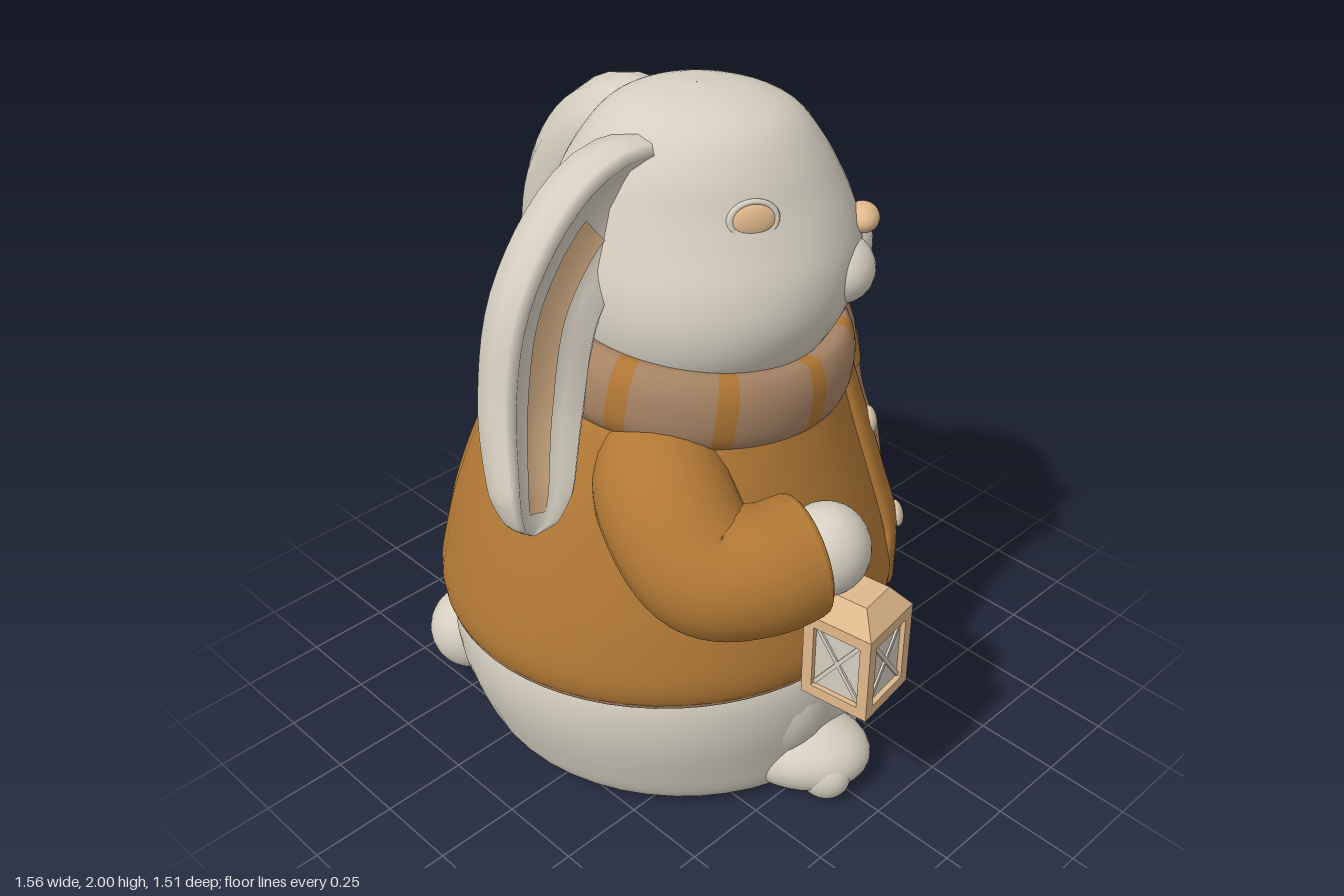
import * as THREE from 'three';

const mat = (name, color, side = THREE.FrontSide) => {
  const m = new THREE.MeshStandardMaterial({ color, side });
  m.name = name;
  return m;
};
const V = (x, y, z) => new THREE.Vector3(x, y, z);
const CIRCLE = Array.from({ length: 24 }, (_, i) => [Math.cos(i * Math.PI / 12), Math.sin(i * Math.PI / 12)]);
// ear section: rounded back, raised rims and a hollow front
const EAR = [[1, 0], [0.93, 0.32], [0.78, 0.45], [0.52, 0.2], [0, 0.08], [-0.52, 0.2], [-0.78, 0.45], [-0.93, 0.32], [-1, 0],
  [-0.87, -0.5], [-0.5, -0.88], [0, -1], [0.5, -0.88], [0.87, -0.5]];

// skin a list of rings (closed loops or open strips)
function loft(rings, closed = true) {
  const n = rings[0].length, pos = [], idx = [];
  rings.forEach(r => r.forEach(p => pos.push(p.x, p.y, p.z)));
  for (let i = 0; i < rings.length - 1; i++) {
    for (let j = 0; j < (closed ? n : n - 1); j++) {
      const a = i * n + j, b = i * n + (j + 1) % n, c = a + n, d = b + n;
      idx.push(a, c, b, b, c, d);
    }
  }
  const g = new THREE.BufferGeometry();
  g.setAttribute('position', new THREE.Float32BufferAttribute(pos, 3));
  g.setIndex(idx);
  g.computeVertexNormals();
  return g;
}

// sweep a section along a path; sizes are [half width, half depth] at each point
function sweep(points, sizes, normal, section = CIRCLE, closed = true, t0 = 0, t1 = 1) {
  const path = new THREE.CatmullRomCurve3(points.map(p => V(...p)));
  const size = new THREE.CatmullRomCurve3(sizes.map(s => V(s[0], s[1], 0)));
  const rings = [];
  for (let i = 0; i <= 40; i++) {
    const t = t0 + (t1 - t0) * i / 40, c = path.getPoint(t), s = size.getPoint(t), T = path.getTangent(t);
    const N = normal.clone().addScaledVector(T, -normal.dot(T)).normalize();
    const W = T.clone().cross(N);
    rings.push(section.map(([u, v]) => c.clone().addScaledVector(W, u * s.x).addScaledVector(N, v * s.y)));
  }
  return loft(rings, closed);
}

// stacked ellipses, rows of [rx, y, rz, centre z]
function shell(rows) {
  const size = new THREE.CatmullRomCurve3(rows.map(r => V(r[0], r[1], r[2])));
  const mid = new THREE.CatmullRomCurve3(rows.map(r => V(0, r[1], r[3])));
  const rings = [];
  for (let i = 0; i <= 48; i++) {
    const s = size.getPoint(i / 48), z = mid.getPoint(i / 48).z;
    rings.push(Array.from({ length: 48 }, (_, j) => {
      const a = j * Math.PI / 24;
      return V(-Math.sin(a) * s.x, Math.max(0, s.y), z + Math.cos(a) * s.z);
    }));
  }
  return loft(rings);
}

export function createModel() {
  const fur = mat('fur', 0xd6cfc1), coat = mat('coat', 0xb17835, THREE.DoubleSide);
  const scarf = mat('scarfWool', 0xa88465, THREE.DoubleSide), tan = mat('tan', 0xe0b88c, THREE.DoubleSide);
  const ivory = mat('buttonIvory', 0xdcc8a9);
  const model = new THREE.Group(), rabbit = new THREE.Group();
  model.name = 'rabbitFigurine';
  rabbit.name = 'rabbit';
  rabbit.rotation.y = THREE.MathUtils.degToRad(133);
  rabbit.position.set(-0.02, 0, -0.022);
  model.add(rabbit);

  const add = (name, geo, m, parent = rabbit) => {
    const mesh = new THREE.Mesh(geo, m);
    mesh.name = name;
    parent.add(mesh);
    return mesh;
  };
  const ball = (name, m, [x, y, z], [a, b, c], parent = rabbit) => {
    const mesh = add(name, new THREE.SphereGeometry(1, 28, 20).scale(a, b, c), m, parent);
    mesh.position.set(x, y, z);
    return mesh;
  };

  // lower body and tail
  add('lowerBody', shell([[0.001, 0, 0.001, -0.03], [0.49, 0, 0.55, -0.03], [0.545, 0.04, 0.59, -0.05],
    [0.585, 0.15, 0.62, -0.07], [0.615, 0.3, 0.65, -0.08], [0.61, 0.42, 0.645, -0.08], [0.57, 0.52, 0.6, -0.08]]), fur);
  ball('tail', fur, [0, 0.2, -0.7], [0.13, 0.13, 0.13]);

  // coat with hem
  add('coat', shell([[0.56, 0.48, 0.58, -0.09], [0.625, 0.46, 0.655, -0.09], [0.645, 0.52, 0.67, -0.09],
    [0.625, 0.66, 0.645, -0.09], [0.58, 0.82, 0.6, -0.09], [0.51, 1.02, 0.53, -0.08],
    [0.43, 1.2, 0.45, -0.05], [0.36, 1.32, 0.38, -0.02]]), coat);
  const hem = add('coatHem', new THREE.TorusGeometry(1, 0.015, 8, 64).rotateX(Math.PI / 2).scale(0.62, 0.9, 0.65), scarf);
  hem.position.set(0, 0.463, -0.09);
  add('placket', sweep([[0.01, 0.465, 0.565], [0.01, 0.66, 0.56], [0.01, 0.82, 0.515], [0.01, 1.02, 0.455], [0.01, 1.2, 0.4]],
    [[0.085, 0.03], [0.085, 0.03], [0.08, 0.03], [0.075, 0.03], [0.07, 0.03]], V(0, 0, 1)), coat);
  [[0.655, 0.592], [0.985, 0.495]].forEach(([y, z]) => {
    ball('button', ivory, [0.025, y, z], [0.04, 0.04, 0.02]).rotation.x = -0.25;
  });

  // arms: sleeves end in an open cuff around the paw
  const arm = (side, points, radii, hand, r) => {
    add(side + 'Sleeve', sweep(points, radii.map(q => [q, q]), V(side === 'left' ? 1 : -1, 1, 0)), coat);
    ball(side + 'Paw', fur, hand, [r, r * 1.08, r]);
    const [before, end] = points.slice(-2).map(p => V(...p));
    const cuff = add(side + 'Cuff', new THREE.TorusGeometry(radii.at(-1) - 0.02, 0.02, 10, 32), coat);
    cuff.position.copy(end);
    cuff.quaternion.setFromUnitVectors(V(0, 0, 1), end.sub(before).normalize());
    add(side + 'CuffLining', new THREE.CircleGeometry(radii.at(-1) - 0.015, 32), coat, cuff);
  };
  arm('right', [[-0.3, 1.12, -0.1], [-0.47, 1.03, -0.06], [-0.585, 0.91, 0.05], [-0.58, 0.905, 0.19], [-0.53, 0.915, 0.29]],
    [0.16, 0.185, 0.18, 0.175, 0.17], [-0.49, 0.91, 0.36], 0.12);
  arm('left', [[0.3, 1.1, -0.06], [0.43, 1.0, 0], [0.52, 0.8, 0.12], [0.53, 0.71, 0.23], [0.5, 0.67, 0.33]],
    [0.17, 0.185, 0.18, 0.17, 0.155], [0.48, 0.65, 0.385], 0.112);

  // legs, feet and ears on both sides
  [['right', -1, 0.31], ['left', 1, 0.35]].forEach(([side, s, z]) => {
    ball(side + 'Leg', fur, [s * 0.34, 0.28, z - 0.09], [0.18, 0.22, 0.19]);
    const foot = new THREE.Group();
    foot.name = side + 'Foot';
    foot.position.set(s * 0.375, 0, z + 0.01);
    foot.rotation.y = s * 0.25;
    rabbit.add(foot);
    const sole = ball('instep', fur, [0, 0.1, 0], [0.155, 0.115, 0.21], foot);
    const p = sole.geometry.attributes.position;
    for (let i = 0; i < p.count; i++) p.setY(i, Math.max(p.getY(i), -0.1));
    [-1, 0, 1].forEach(k => ball('toe', fur, [k * 0.08, 0.075, 0.125 - Math.abs(k) * 0.03], [0.062, 0.075, 0.075], foot));

    const path = [[s * 0.06, 1.73, 0.02], [s * 0.23, 1.77, -0.2], [s * 0.37, 1.58, -0.345],
      [s * 0.445, 1.3, -0.395], [s * 0.54, 1.1, -0.395], [s * 0.57, 1.025, -0.395], [s * 0.58, 0.995, -0.395]];
    const size = [[0.14, 0.14], [0.16, 0.15], [0.155, 0.145], [0.145, 0.14], [0.115, 0.115], [0.07, 0.07], [0.003, 0.003]];
    const facing = V(s * 0.68, 0, 0.73);
    add(side + 'Ear', sweep(path, size, facing, EAR), fur);
    add(side + 'InnerEar', sweep(path, size, facing, [[0.3, 0.18], [0, 0.13], [-0.3, 0.18]], false, 0.22, 0.76), tan);
  });

  // head and face
  add('head', shell([[0.2, 1.22, 0.2, 0], [0.33, 1.29, 0.33, 0], [0.39, 1.38, 0.385, 0.01], [0.408, 1.48, 0.415, 0.02],
    [0.39, 1.58, 0.42, 0.02], [0.345, 1.68, 0.4, 0.015], [0.31, 1.76, 0.37, 0.01], [0.275, 1.85, 0.32, 0.01],
    [0.215, 1.935, 0.25, 0.01], [0.13, 1.982, 0.15, 0], [0.001, 2.0, 0.001, 0]]), fur);
  [-1, 1].forEach(s => {
    ball('muzzlePuff', fur, [s * 0.08, 1.525, 0.38], [0.115, 0.09, 0.095]);
    const eye = new THREE.Group();
    eye.name = s < 0 ? 'rightEye' : 'leftEye';
    eye.position.set(s * 0.282, 1.757, 0.15);
    eye.lookAt(s * 1.282, 1.97, 0.47);
    rabbit.add(eye);
    ball('iris', tan, [0, 0, 0], [0.06, 0.043, 0.018], eye);
    add('eyelid', new THREE.TorusGeometry(0.06, 0.01, 8, 28).scale(1, 0.75, 1), fur, eye);
  });
  ball('chin', fur, [0, 1.435, 0.35], [0.12, 0.08, 0.075]);
  ball('nose', tan, [-0.01, 1.638, 0.437], [0.06, 0.038, 0.045]);

  // scarf ring with stripes
  const ring = new THREE.Group();
  ring.name = 'scarf';
  ring.position.set(0, 1.285, -0.02);
  ring.rotation.x = 0.14;
  rabbit.add(ring);
  const profile = new THREE.SplineCurve([[0.36, -0.09], [0.42, -0.115], [0.457, -0.07], [0.462, 0], [0.45, 0.06], [0.415, 0.105], [0.36, 0.09]]
    .map(p => new THREE.Vector2(...p))).getPoints(18);
  const step = Math.PI / 5;
  for (let i = 0; i < 10; i++) {
    add('scarfWrap', new THREE.LatheGeometry(profile, 8, i * step, step * 0.8), scarf, ring);
    add('scarfStripe', new THREE.LatheGeometry(profile, 3, (i + 0.8) * step, step * 0.2), coat, ring);
  }

  // hanging scarf end with a band and fringe
  const drop = [[0.19, 1.31, 0.36], [0.215, 1.2, 0.385], [0.235, 1.0, 0.425], [0.255, 0.83, 0.485]];
  const dropSize = [[0.08, 0.05], [0.105, 0.055], [0.105, 0.045], [0.105, 0.035]];
  const outward = V(0.4, 0, 1);
  add('scarfEnd', sweep(drop, dropSize, outward), scarf);
  add('scarfEndBand', sweep(drop, dropSize.map(([w, d]) => [w + 0.004, d + 0.004]), outward, CIRCLE, true, 0.4, 0.52), coat);
  for (let i = 0; i < 6; i++) {
    const strand = add('fringe', new THREE.CapsuleGeometry(0.022, 0.1, 4, 10), scarf);
    strand.position.set(0.185 + i * 0.028, 0.81, 0.52 - i * 0.0115);
    strand.rotation.x = -0.15;
  }

  // lantern
  const lantern = new THREE.Group();
  lantern.name = 'lantern';
  lantern.position.set(-0.505, 0.45, 0.455);
  lantern.rotation.y = THREE.MathUtils.degToRad(-35);
  rabbit.add(lantern);
  const box = (name, m, [w, h, d], [x, y, z], parent = lantern) => {
    const b = add(name, new THREE.BoxGeometry(w, h, d), m, parent);
    b.position.set(x, y, z);
    return b;
  };
  box('lanternBase', tan, [0.21, 0.035, 0.21], [0, 0.0175, 0]);
  box('lanternTop', tan, [0.21, 0.035, 0.21], [0, 0.255, 0]);
  box('lanternGlass', fur, [0.18, 0.22, 0.18], [0, 0.14, 0]);
  const roof = add('lanternRoof', new THREE.CylinderGeometry(0.08, 0.148, 0.065, 4).rotateY(Math.PI / 4).toNonIndexed(), tan, lantern);
  roof.geometry.computeVertexNormals();
  roof.position.y = 0.305;
  for (let i = 0; i < 4; i++) {
    const face = new THREE.Group();
    face.name = 'lanternSide';
    face.rotation.y = i * Math.PI / 2;
    lantern.add(face);
    box('lanternPost', tan, [0.032, 0.23, 0.032], [0.089, 0.14, 0.089], face);
    [-1, 1].forEach(s => {
      box('crossBar', fur, [0.012, 0.24, 0.012], [0, 0.14, 0.09], face).rotation.z = s * 0.62;
    });
  }
  return model;
}
